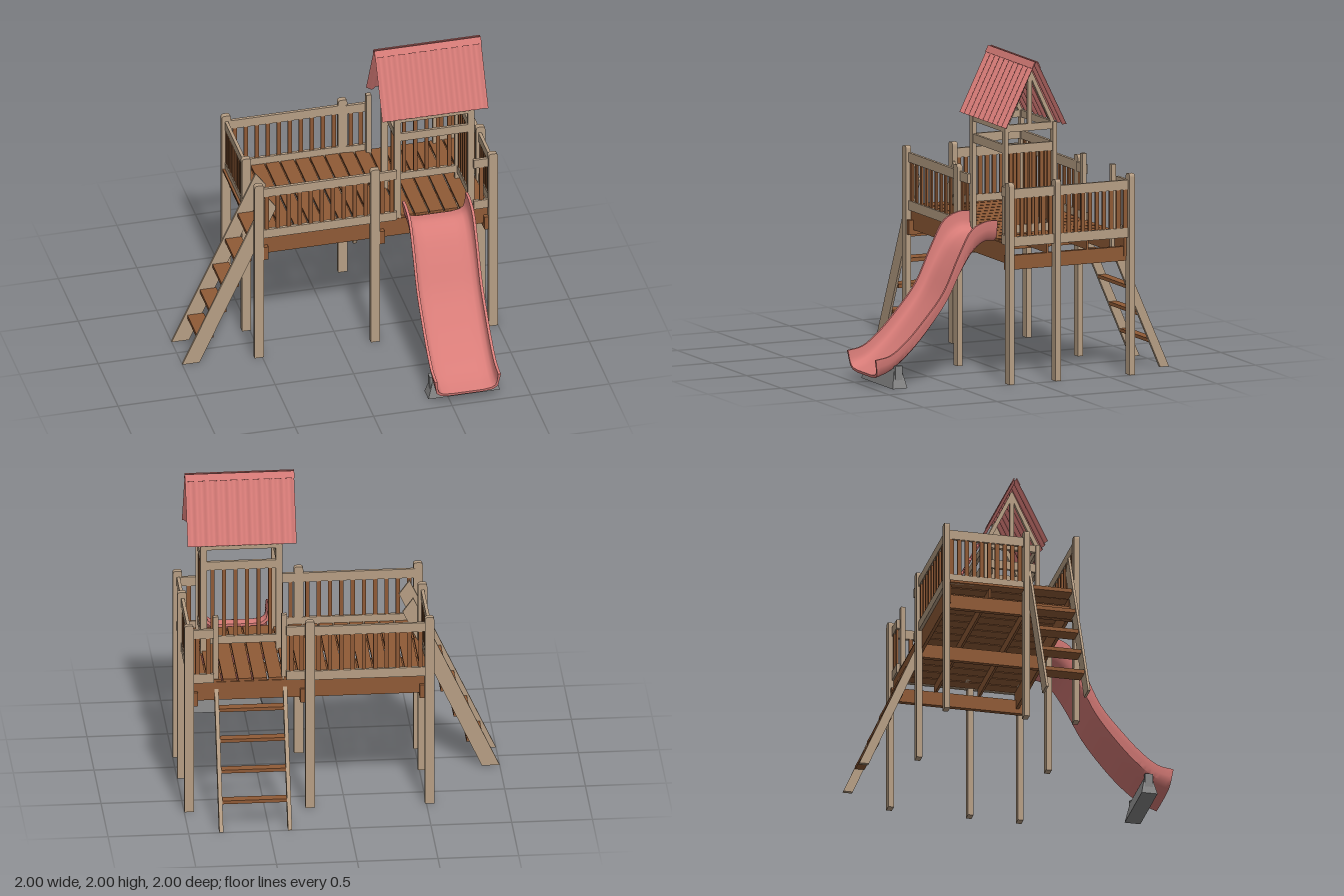
import * as THREE from 'three';
import { toCreasedNormals } from 'three/addons/utils/BufferGeometryUtils.js';

const mat = (name, color, side = THREE.FrontSide) => new THREE.MeshStandardMaterial({ name, color, side });

export function createModel() {
  const model = new THREE.Group();
  model.name = 'playground';
  const tan = mat('tan timber', 0xb69e84);
  const brown = mat('brown timber', 0x8f5a36);
  const red = mat('red plastic', 0xd87c78, THREE.DoubleSide);
  const grey = mat('grey footing', 0x858585);

  const add = (name, geometry, material) => {
    const mesh = new THREE.Mesh(geometry, material);
    mesh.name = name;
    model.add(mesh);
    return mesh;
  };
  // Box given by its limits on each axis
  const box = (name, m, x0, x1, y0, y1, z0, z1) => {
    const g = new THREE.BoxGeometry(x1 - x0, y1 - y0, z1 - z0);
    g.translate((x0 + x1) / 2, (y0 + y1) / 2, (z0 + z1) / 2);
    return add(name, g, m);
  };
  const polygon = (points) => new THREE.Shape(points.map(([x, y]) => new THREE.Vector2(x, y)));
  const slab = (shape, depth) => new THREE.ExtrudeGeometry(shape, { depth, bevelEnabled: false, curveSegments: 4 });
  // Turns an extrusion drawn in (z, y) so that its depth runs along x
  const slabAlongX = (points, x, depth) => {
    const g = slab(polygon(points.map(([z, y]) => [-z, y])), depth);
    g.rotateY(Math.PI / 2);
    return g.translate(x, 0, 0);
  };

  // Main posts with rounded tops
  const postShape = new THREE.Shape();
  postShape.moveTo(-0.029, 0);
  postShape.lineTo(0.029, 0);
  postShape.lineTo(0.029, 1.24);
  postShape.quadraticCurveTo(0.029, 1.26, 0.01, 1.26);
  postShape.lineTo(-0.01, 1.26);
  postShape.quadraticCurveTo(-0.029, 1.26, -0.029, 1.24);
  for (const [x, z] of [[-0.52, 0.145], [0.22, 0.145], [0.97, 0.145], [-0.52, -0.172],
    [0.97, -0.172], [-0.52, -0.677], [0.22, -0.677], [0.97, -0.677]]) {
    add('post', slab(postShape, 0.035), tan).position.set(x, 0, z);
  }

  // Deck boards and the beams below
  for (let i = 0; i < 15; i++) {
    const x = -0.46 + i * 0.0943;
    box('deckBoard', brown, x, x + 0.085, 0.86, 0.876, -0.64, 0.14);
  }
  box('edgeBoard', brown, -0.545, -0.47, 0.86, 0.876, -0.64, 0.14);
  for (const z of [-0.645, 0.125]) box('longBeam', brown, -0.5, 0.95, 0.74, 0.86, z, z + 0.02);
  for (const z of [-0.385, -0.11]) box('joist', brown, -0.5, 0.95, 0.8, 0.86, z, z + 0.014);
  for (const x of [-0.49, 0.25, 0.915]) box('crossBeam', brown, x, x + 0.03, 0.71, 0.8, -0.665, 0.175);

  // Railing between two points of one axis, at a fixed place on the other
  const railing = (axis, a, b, at, count, y0 = 0.86, y1 = 1.16, railHeight = 0.06, lowHeight = railHeight, w = 0.026) => {
    const part = (name, m, p, q, bottom, top, half) => axis === 'x'
      ? box(name, m, p, q, bottom, top, at - half, at + half)
      : box(name, m, at - half, at + half, bottom, top, p, q);
    part('lowerRail', tan, a, b, y0, y0 + lowHeight, 0.01);
    part('upperRail', tan, a, b, y1, y1 + railHeight, 0.01);
    for (let i = 0; i < count; i++) {
      const c = a + (b - a) * (i + 0.5) / count;
      part('slat', brown, c - w / 2, c + w / 2, y0 + lowHeight, y1, 0.006);
    }
  };
  railing('x', -0.5, 0.2, 0.152, 10);
  railing('x', 0.24, 0.36, 0.152, 2);
  railing('x', 0.85, 0.95, 0.152, 1);
  railing('x', -0.5, 0.2, -0.655, 10);
  railing('x', 0.24, 0.365, -0.645, 2);
  railing('x', 0.815, 0.95, -0.645, 2);
  railing('z', -0.65, -0.17, -0.52, 10);
  railing('z', -0.65, -0.17, 0.965, 10);
  railing('z', -0.14, 0.15, 0.965, 6);

  // Tower frame
  for (const x of [0.35, 0.818]) {
    for (const z of [-0.21, 0.118]) box('towerPost', tan, x, x + 0.042, 0.86, 1.6, z, z + 0.025);
    box('towerSideBeam', tan, x + 0.01, x + 0.034, 1.555, 1.6, -0.2, 0.135);
  }
  for (const z of [-0.207, 0.122]) {
    box('towerCrossBeam', tan, 0.355, 0.855, 1.555, 1.6, z, z + 0.018);
  }
  box('towerFrontRail', tan, 0.39, 0.82, 1.42, 1.475, 0.122, 0.14);
  box('towerSideRail', tan, 0.362, 0.382, 1.42, 1.475, -0.19, 0.125);
  railing('x', 0.39, 0.82, -0.197, 6, 0.92, 1.42, 0.055, 0.05, 0.024);
  railing('z', -0.19, 0.12, 0.84, 6, 0.92, 1.42, 0.055, 0.05, 0.024);

  // Gable frames under the roof
  for (const x of [0.36, 0.825]) {
    box('kingPost', tan, x, x + 0.025, 1.6, 1.94, -0.045, -0.02);
    for (const s of [-1, 1]) {
      const rafter = [[0.17, 1.6], [0.142, 1.6], [0, 1.9], [0, 1.955]].map(([z, y]) => [-0.032 + s * z, y]);
      add('rafter', slabAlongX(rafter, x, 0.025), tan);
    }
  }

  // Corrugated roof sheets and ridge cap
  const slope = Math.atan2(0.198, 0.4);
  for (const turn of [0, Math.PI]) {
    const sheet = new THREE.PlaneGeometry(0.675, 0.446, 80, 1);
    const p = sheet.attributes.position;
    for (let i = 0; i < p.count; i++) p.setZ(i, 0.009 * Math.cos(p.getX(i) * Math.PI * 2 * 10 / 0.675));
    sheet.computeVertexNormals();
    const cap = new THREE.BoxGeometry(0.678, 0.045, 0.006);
    cap.translate(0, 0.203, 0.01);
    for (const [name, g] of [['roofSheet', sheet], ['ridgeCap', cap]]) {
      g.rotateX(-slope);
      g.translate(0, 1.792, 0.099);
      g.rotateY(turn);
      g.translate(0.603, 0, -0.033);
      add(name, g, red);
    }
  }

  // Side stairs
  const stringer = polygon([[-1, 0], [-0.89, 0], [-0.4, 1.06], [-0.465, 1.15]]);
  for (const z of [-0.14, 0.125]) add('stairStringer', slab(stringer, 0.015), tan).position.z = z;
  for (let i = 0; i < 5; i++) {
    const x = -0.9 + i * 0.08, y = 0.158 + i * 0.174;
    box('stairTread', brown, x, x + 0.104, y, y + 0.025, -0.125, 0.125);
  }

  // Rear ladder with its grab posts
  for (const x of [0.36, 0.785]) {
    add('ladderStringer', slabAlongX([[-1, 0], [-0.94, 0], [-0.625, 0.73], [-0.625, 0.86]], x, 0.025), tan);
    box('grabPost', tan, x, x + 0.033, 0.74, 1.295, -0.635, -0.605);
  }
  for (let i = 0; i < 4; i++) {
    const z = -0.925 + i * 0.075, y = 0.158 + i * 0.174;
    box('ladderRung', brown, 0.385, 0.785, y, y + 0.022, z, z + 0.058);
  }

  // Slide: a U-shaped section carried between an underside curve and a rim curve
  const curve = (points) => new THREE.CatmullRomCurve3(points.map(([z, y]) => new THREE.Vector3(0, y, z)));
  const under = curve([[0.17, 0.86], [0.24, 0.86], [0.31, 0.81], [0.4, 0.68], [0.5, 0.5], [0.62, 0.34], [0.75, 0.2], [0.88, 0.1], [0.98, 0.06]]);
  const rim = curve([[0.17, 1], [0.24, 1], [0.34, 0.955], [0.43, 0.8], [0.54, 0.57], [0.67, 0.41], [0.79, 0.285], [0.9, 0.205], [1, 0.185]]);
  const half = [[0.1, 0], [0.165, 0.06], [0.195, 0.25], [0.203, 0.6], [0.21, 0.93], [0.21, 1],
    [0.193, 1], [0.19, 0.6], [0.18, 0.32], [0.155, 0.19], [0.1, 0.13]];
  const section = [...half, ...half.map(([x, h]) => [-x, h]).reverse()];
  const steps = 32, n = section.length, verts = [], faces = [];
  for (let i = 0; i <= steps; i++) {
    const a = under.getPoint(i / steps), b = rim.getPoint(i / steps);
    for (const [x, h] of section) verts.push(0.6 + x, a.y + (b.y - a.y) * h, a.z + (b.z - a.z) * h);
  }
  for (let i = 0; i < steps; i++) {
    for (let j = 0; j < n; j++) {
      const a = i * n + j, b = i * n + (j + 1) % n;
      faces.push(a, b, a + n, b, b + n, a + n);
    }
  }
  // End caps join the outer skin to the inner skin
  for (const start of [0, steps * n]) {
    for (let j = 0; j < n / 2 - 1; j++) {
      const m = half.length;
      const q = j < 5 ? [j, j + 1, m - 2 - j, m - 1 - j] : [n - 1 - (j - 5), n - 2 - (j - 5), n - m + 1 + (j - 5), n - m + (j - 5)];
      faces.push(...[q[0], q[1], q[2], q[0], q[2], q[3]].map((k) => start + k));
    }
    faces.push(...[0, half.length - 1, half.length, 0, half.length, n - 1].map((k) => start + k));
  }
  const slide = new THREE.BufferGeometry();
  slide.setAttribute('position', new THREE.Float32BufferAttribute(verts, 3));
  slide.setIndex(faces);
  add('slide', toCreasedNormals(slide, 0.8), red);

  // Tapered footing under the slide's end
  const foot = new THREE.BoxGeometry(0.455, 0.12, 0.1);
  const fp = foot.attributes.position;
  for (let i = 0; i < fp.count; i++) {
    if (fp.getY(i) > 0) fp.setXYZ(i, fp.getX(i) * 0.84, fp.getY(i), fp.getZ(i) * 0.5);
  }
  foot.computeVertexNormals();
  foot.translate(0.603, 0.06, 0.845);
  add('slideFooting', foot, grey);
  for (const s of [-1, 1]) {
    const x = 0.603 + s * 0.2;
    box('footingBracket', grey, x - 0.012, x + 0.012, 0, 0.14, 0.82, 0.87);
  }
  return model;
}
